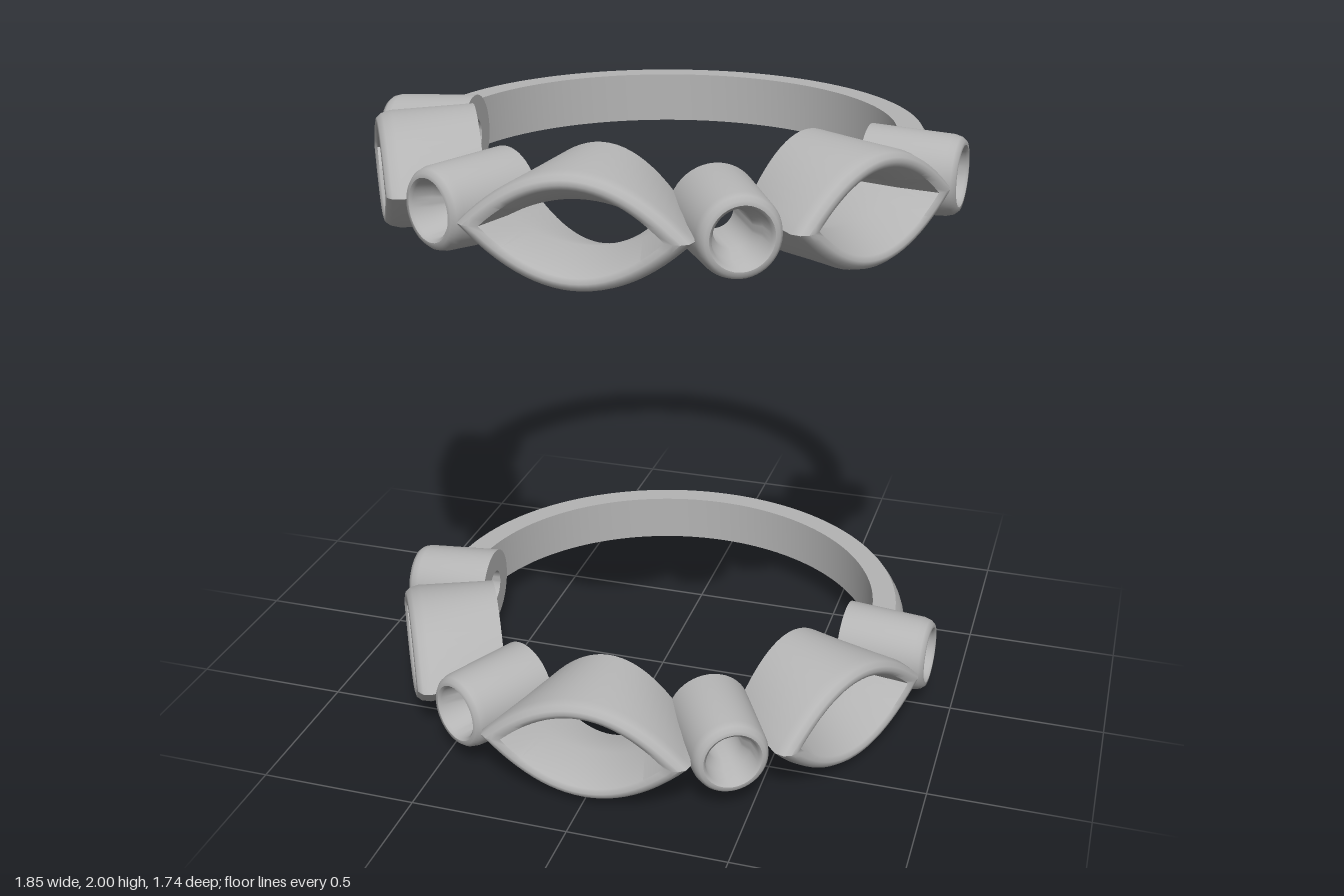
import * as THREE from 'three';
import { toCreasedNormals } from 'three/addons/utils/BufferGeometryUtils.js';

// Outlines, counter-clockwise, half size w by h
const N = 48;
const lens = (i, w, h) => {
  const half = N / 2, upper = i < half;
  const u = 1 - 2 * ((i % half) / half);
  return [w * (upper ? u : -u), h * (1 - u * u) * (upper ? 1 : -1)];
};
const oval = (i, w, h) => {
  const a = (i / N) * Math.PI * 2;
  return [w * Math.cos(a), h * Math.sin(a)];
};

// Closed loft through sections [w, h, z]: up the outside, down the hole
function loft(outline, sections, crease) {
  const pos = [], idx = [], S = sections.length;
  for (const [w, h, z] of sections)
    for (let i = 0; i < N; i++) pos.push(...outline(i, w, h), z);
  for (let s = 0; s < S; s++)
    for (let i = 0; i < N; i++) {
      const t = (s + 1) % S, j = (i + 1) % N;
      const a = s * N + i, b = s * N + j, c = t * N + j, d = t * N + i;
      idx.push(a, b, c, a, c, d);
    }
  const g = new THREE.BufferGeometry();
  g.setAttribute('position', new THREE.Float32BufferAttribute(pos, 3));
  g.setIndex(idx);
  return toCreasedNormals(g, crease);
}

export function createModel() {
  const metal = new THREE.MeshStandardMaterial({ color: 0xb4b4b4 });
  metal.name = 'grey metal';

  // Pointed oval setting, narrowing at its tips towards the finger
  const marquiseGeo = loft(lens, [
    [0.25, 0.182, 0.575], [0.335, 0.169, 0.82], [0.328, 0.161, 0.848], [0.308, 0.149, 0.863],
    [0.288, 0.136, 0.866], [0.262, 0.122, 0.858], [0.222, 0.064, 0.74], [0.185, 0.11, 0.575],
  ], 0.8);

  // Round setting with a conical seat and a straight drilled hole
  const round = (r, z) => [r, r, z];
  const sleeveGeo = loft(oval, [
    round(0.132, 0.6), round(0.121, 0.85), round(0.115, 0.872), round(0.104, 0.885),
    round(0.092, 0.886), round(0.083, 0.878), round(0.075, 0.82), round(0.056, 0.79), round(0.056, 0.6),
  ], 0.8);

  // Half band: flat inside, crowned outside
  const profile = [[0.705, -0.08], [0.783, -0.08]];
  for (let k = -3; k <= 3; k++) {
    const v = k / 4;
    profile.push([0.783 + 0.032 * (1 - v * v), v * 0.08]);
  }
  profile.push([0.783, 0.08], [0.705, 0.08], [0.705, -0.08]);
  const start = THREE.MathUtils.degToRad(94.5);
  const bandGeo = toCreasedNormals(
    new THREE.LatheGeometry(profile.map(([r, y]) => new THREE.Vector2(r, y)), 72, start, 2 * (Math.PI - start)), 0.6);

  function makeRing(name, y) {
    const ring = new THREE.Group();
    ring.name = name;
    ring.position.y = y;
    const add = (part, geo, degrees = 0, x = 0, z = 0) => {
      const m = new THREE.Mesh(geo, metal);
      m.name = part;
      m.rotation.y = THREE.MathUtils.degToRad(degrees);
      m.position.set(x, 0, z);
      ring.add(m);
    };
    add('band', bandGeo, 0, 0, -0.055);
    add('centreMarquise', marquiseGeo);
    for (const [side, s] of [['left', 1], ['right', -1]]) {
      add(side + 'InnerSleeve', sleeveGeo, s * 30.5);
      add(side + 'Marquise', marquiseGeo, s * 61.5);
      add(side + 'ShoulderSleeve', sleeveGeo, s * 86.5, s * 0.035, -0.07);
    }
    return ring;
  }

  const model = new THREE.Group();
  model.name = 'ringPair';
  model.add(makeRing('lowerRing', 0.182), makeRing('upperRing', 1.818));
  return model;
}
